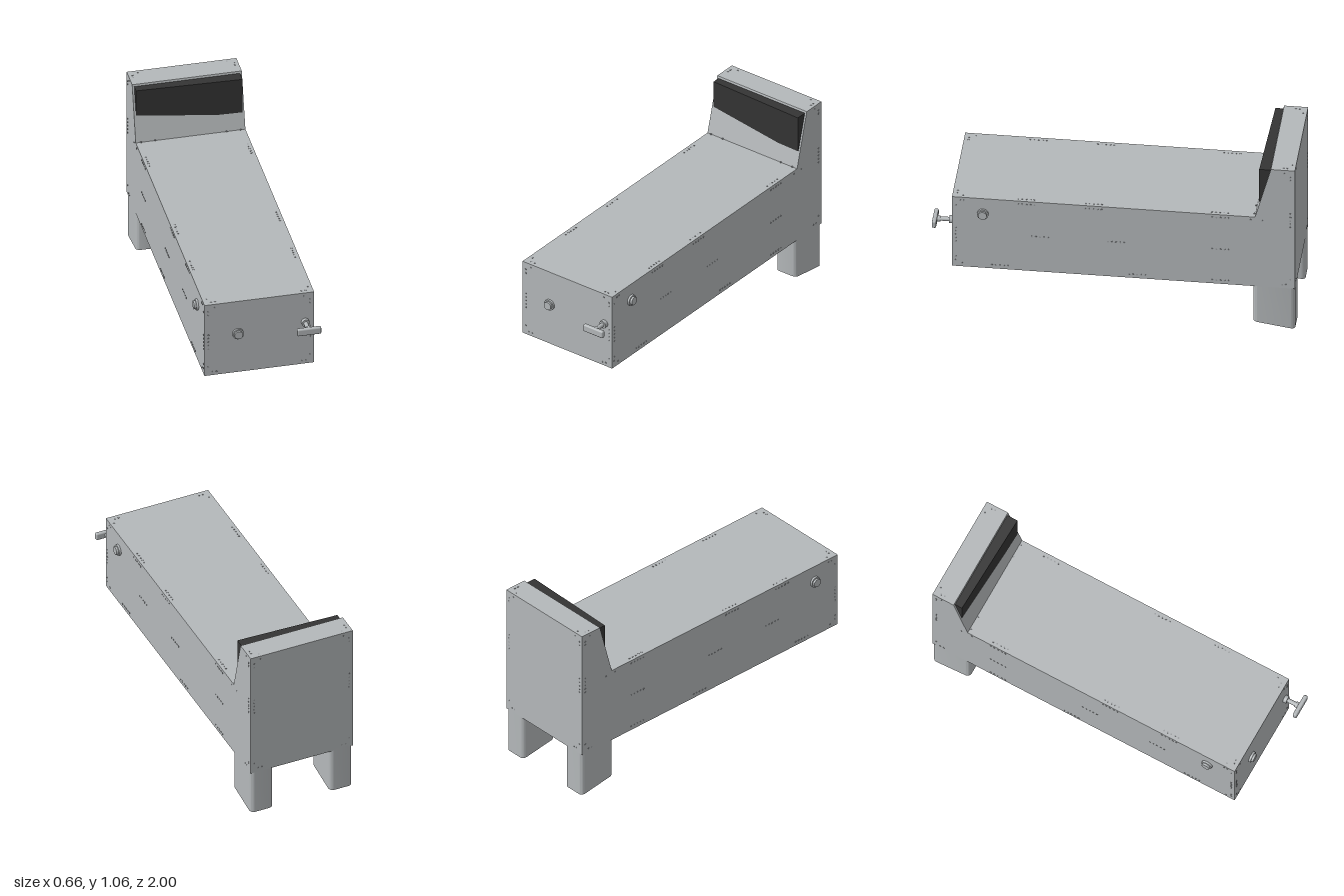
import * as THREE from 'three';
import { mergeGeometries, toCreasedNormals } from 'three/addons/utils/BufferGeometryUtils.js';
import { RoundedBoxGeometry } from 'three/addons/geometries/RoundedBoxGeometry.js';

const W = 0.308; // half width of the cabinet
const FRONT = 0.89, BACK = -1, TOP = 0.73, HIGH = 1.055;

export function createModel() {
  const model = new THREE.Group();
  model.name = 'gameCabinet';
  const paint = (name, color) => {
    const m = new THREE.MeshStandardMaterial({ color });
    m.name = name;
    return m;
  };
  const grey = paint('cabinet grey', 0xb4b8ba);
  const dark = paint('screen charcoal', 0x343434);
  const steel = paint('screw grey', 0x9a9da0);

  const add = (name, geometry, material, parent = model) => {
    const mesh = new THREE.Mesh(geometry, material);
    mesh.name = name;
    parent.add(mesh);
    return mesh;
  };

  // Cabinet and raised back box share one side profile (z, y)
  const profile = new THREE.Shape([
    [BACK, 0.27], [FRONT, 0.27], [FRONT, TOP], [-0.78, TOP], [-0.868, HIGH], [BACK, HIGH],
  ].map(([z, y]) => new THREE.Vector2(z, y)));
  const body = new THREE.ExtrudeGeometry(profile, { depth: 2 * W, bevelEnabled: false });
  body.rotateY(-Math.PI / 2).translate(W, 0, 0);
  add('cabinet', body, grey);

  // Screen block, sunk into the sloping panel and turned slightly sideways
  const screen = new THREE.BoxGeometry(0.594, 0.215, 0.06);
  screen.translate(0, 0.9355, 0);
  const p = screen.attributes.position;
  for (let i = 0; i < p.count; i++) {
    p.setZ(i, p.getZ(i) < 0 ? -0.872 : -0.8115 + 0.032 * p.getX(i));
  }
  screen.computeVertexNormals();
  add('screen', screen, dark);

  // Rear legs with rounded corners and slanted feet
  const legShape = () => {
    const x = 0.0685, z = 0.116, r = 0.025, s = new THREE.Shape();
    s.moveTo(-x + r, -z);
    s.absarc(x - r, -z + r, r, -Math.PI / 2, 0);
    s.absarc(x - r, z - r, r, 0, Math.PI / 2);
    s.absarc(-x + r, z - r, r, Math.PI / 2, Math.PI);
    s.absarc(-x + r, -z + r, r, Math.PI, Math.PI * 1.5);
    return s;
  };
  for (const side of [-1, 1]) {
    let leg = new THREE.ExtrudeGeometry(legShape(), { depth: 0.28, bevelEnabled: false, curveSegments: 6 });
    leg.rotateX(-Math.PI / 2).translate(side * 0.2385, 0, -0.884);
    const q = leg.attributes.position;
    for (let i = 0; i < q.count; i++) {
      if (q.getY(i) < 0.1) q.setY(i, (q.getZ(i) - BACK) * 0.15);
    }
    leg = toCreasedNormals(leg, 0.6);
    add(side > 0 ? 'leftLeg' : 'rightLeg', leg, grey);
  }

  // Round parts stacked along +z: each step is [radius, start, end]
  const stack = (name, steps) => {
    const group = new THREE.Group();
    group.name = name;
    for (const [r, a, b] of steps) {
      const g = new THREE.CylinderGeometry(r, r, b - a, 24);
      g.rotateX(Math.PI / 2).translate(0, 0, (a + b) / 2);
      add(name + 'Ring', g, grey, group);
    }
    model.add(group);
    return group;
  };
  const buttonSteps = [[0.032, -0.005, 0.012], [0.024, 0.012, 0.024]];
  stack('startButton', buttonSteps).position.set(-0.12, 0.522, FRONT);
  for (const side of [-1, 1]) {
    const b = stack('sideButton', buttonSteps);
    b.position.set(side * W, 0.63, 0.72);
    b.rotation.y = side * Math.PI / 2;
  }

  // Plunger with a crossbar handle
  const plunger = stack('plunger', [[0.022, -0.005, 0.02], [0.012, 0.02, 0.075], [0.017, 0.07, 0.086]]);
  plunger.position.set(0.257, 0.543, FRONT);
  add('plungerHandle', new RoundedBoxGeometry(0.135, 0.043, 0.024, 3, 0.008), grey, plunger)
    .position.set(0, 0, 0.098);

  // Screw heads: each face lists flat positions, placed by its own mapping
  const run = (n, from, to, make) =>
    Array.from({ length: n }, (_, i) => make(from + (to - from) * i / (n - 1)));
  const screws = (name, normal, points) => {
    const turn = new THREE.Quaternion().setFromUnitVectors(new THREE.Vector3(0, 1, 0), normal);
    const heads = points.map(([x, y, z]) =>
      new THREE.CylinderGeometry(0.005, 0.005, 0.004, 8).applyQuaternion(turn).translate(x, y, z));
    add(name, mergeGeometries(heads), steel);
  };

  const frontPts = [], backPts = [], topPts = [];
  for (const s of [-1, 1]) {
    const x = s * 0.286;
    frontPts.push(
      ...[[s * 0.25, 0.708], [x, 0.685], [x, 0.662], [x, 0.325], [s * 0.264, 0.29], [s * 0.241, 0.29]],
      ...run(s < 0 ? 5 : 4, s < 0 ? 0.532 : 0.51, 0.442, y => [x, y]));
    backPts.push(
      ...[[s * 0.25, 1.033], [x, 1.01], [x, 0.988], [x, 0.33], [s * 0.264, 0.295], [s * 0.241, 0.295]],
      ...run(5, 0.675, 0.765, y => [x, y]));
    for (const z of [-0.585, 0.11, 0.482]) {
      topPts.push(...run(5, z - 0.045, z + 0.045, v => [x, TOP, v]));
    }
    topPts.push([x, TOP, 0.83], [s * 0.265, TOP, 0.865], [s * 0.243, TOP, 0.865],
      [s * 0.28, TOP + 0.005, -0.774], [s * 0.2, TOP + 0.005, -0.774],
      [x, HIGH, -0.957], [x, HIGH, -0.935], [s * 0.25, HIGH, -0.98]);
  }
  screws('frontScrews', new THREE.Vector3(0, 0, 1), frontPts.map(([x, y]) => [x, y, FRONT]));
  screws('backScrews', new THREE.Vector3(0, 0, -1), backPts.map(([x, y]) => [x, y, BACK + 0.001]));
  screws('topScrews', new THREE.Vector3(0, 1, 0), topPts);

  // Side screws, mirrored on both walls, as (z, y)
  const sidePts = [
    [0.845, 0.71], [0.825, 0.71], [0.87, 0.675], [-0.755, 0.71], [-0.82, 0.71],
    [0.87, 0.335], [0.87, 0.31], [0.835, 0.293], [-0.93, 0.293], [-0.95, 0.293],
    [-0.975, 0.33], [-0.975, 1.01], [-0.975, 0.99], [-0.94, 1.035],
    ...run(5, 0.435, 0.525, y => [0.87, y]),
    ...run(5, 0.675, 0.765, y => [-0.975, y]),
  ];
  const rows = [[0.71, [0.48, 0.11, -0.59]], [0.5, [0.405, -0.015, -0.59]], [0.293, [0.625, -0.13, -0.59]]];
  for (const [y, centres] of rows) {
    for (const c of centres) sidePts.push(...run(5, c - 0.045, c + 0.045, z => [z, y]));
  }
  for (const s of [-1, 1]) {
    screws('sideScrews', new THREE.Vector3(s, 0, 0), sidePts.map(([z, y]) => [s * W, y, z]));
  }
  return model;
}
